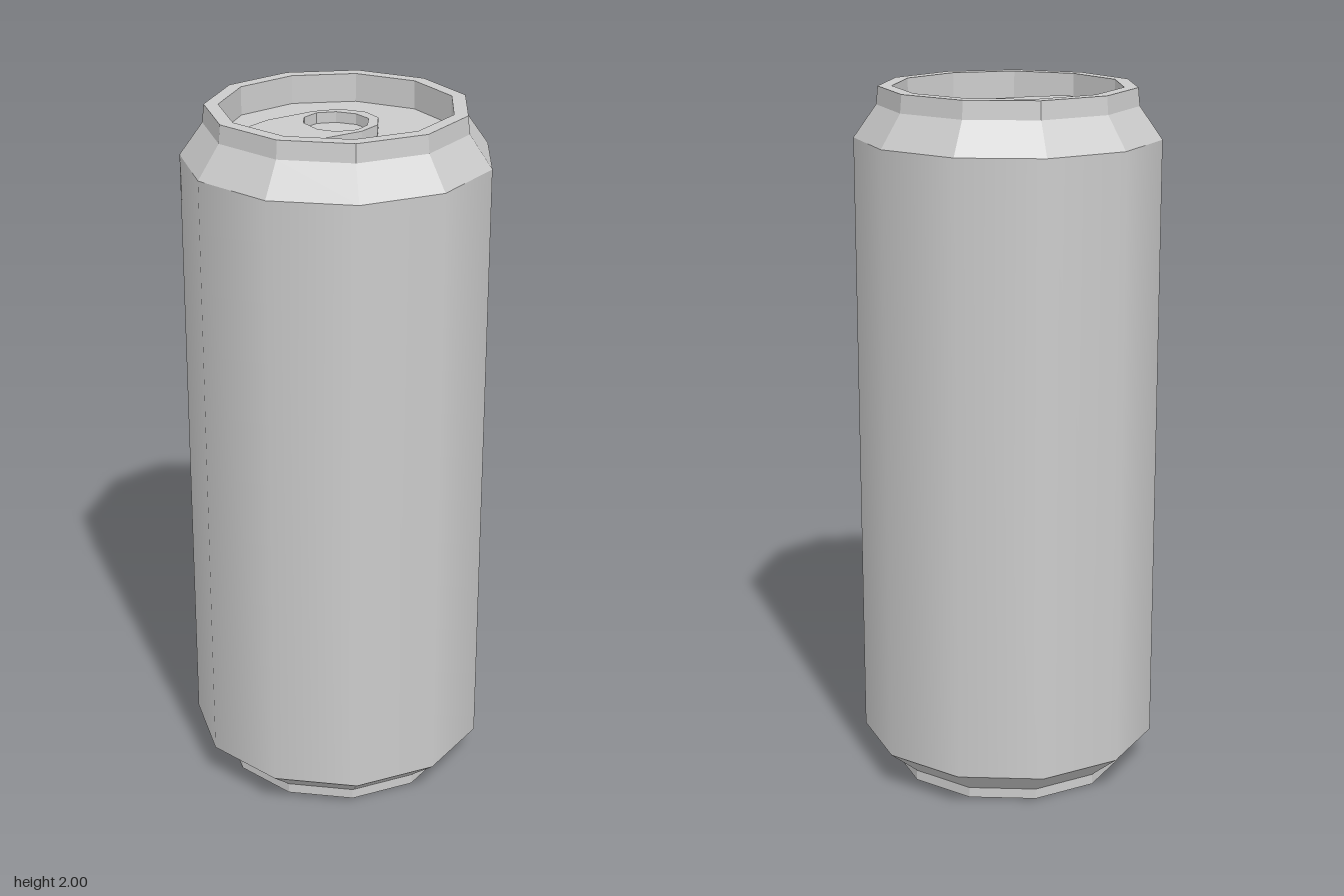
import * as THREE from 'three';

const SIDES = 11;

export function createModel() {
  const can = new THREE.Group();
  can.name = 'drinkCan';

  const flat = new THREE.MeshStandardMaterial({ color: 0xcccccc, flatShading: true, side: THREE.DoubleSide });
  const smooth = new THREE.MeshStandardMaterial({ color: 0xcccccc, side: THREE.DoubleSide });

  const add = (name, geometry, material) => {
    const mesh = new THREE.Mesh(geometry, material);
    mesh.name = name;
    can.add(mesh);
    return mesh;
  };

  // Eleven-sided ring swept from [radius, height] pairs, one corner on +x
  const ring = (profile) => new THREE.LatheGeometry(
    profile.map(([r, y]) => new THREE.Vector2(r, y)), SIDES, Math.PI / 2);

  // Faceted foot, open underneath
  add('foot', ring([[0.339, 0], [0.339, 0.03], [0.429, 0.105]]), flat);

  // Smooth-shaded side wall
  add('body', ring([[0.429, 0.105], [0.429, 1.86]]), smooth);

  // Faceted shoulder, rim and recessed lid in one sweep
  add('shoulderAndLid', ring([
    [0.429, 1.86], [0.365, 1.95], [0.36, 2], [0.321, 2], [0.321, 1.92], [0, 1.92],
  ]), flat);

  // Pull tab: teardrop plate with a finger hole, outlined in x, z
  const outline = [
    [-0.26, -0.045], [-0.245, -0.11], [-0.19, -0.155], [-0.115, -0.16], [0.03, -0.125], [0.095, -0.085],
    [0.12, -0.012], [0.102, 0.048], [0.047, 0.093], [-0.025, 0.1], [-0.17, 0.06], [-0.235, 0.022],
  ];
  const hole = [
    [-0.09, 0], [-0.07, -0.07], [-0.03, -0.103], [0.023, -0.107], [0.067, -0.075],
    [0.088, -0.02], [0.077, 0.035], [0.028, 0.073], [-0.022, 0.081], [-0.072, 0.05],
  ];
  const toPoints = (list) => list.map(([x, z]) => new THREE.Vector2(x, -z));
  const shape = new THREE.Shape(toPoints(outline));
  shape.holes.push(new THREE.Path(toPoints(hole)));
  const tabGeometry = new THREE.ExtrudeGeometry(shape, { depth: 0.03, bevelEnabled: false });
  tabGeometry.rotateX(-Math.PI / 2);
  const tab = add('pullTab', tabGeometry, flat);
  tab.position.set(0.009, 1.92, 0);

  // An odd number of sides is wider towards +x, so shift to centre the bounds
  can.children.forEach((part) => { part.position.x -= 0.009; });
  return can;
}
